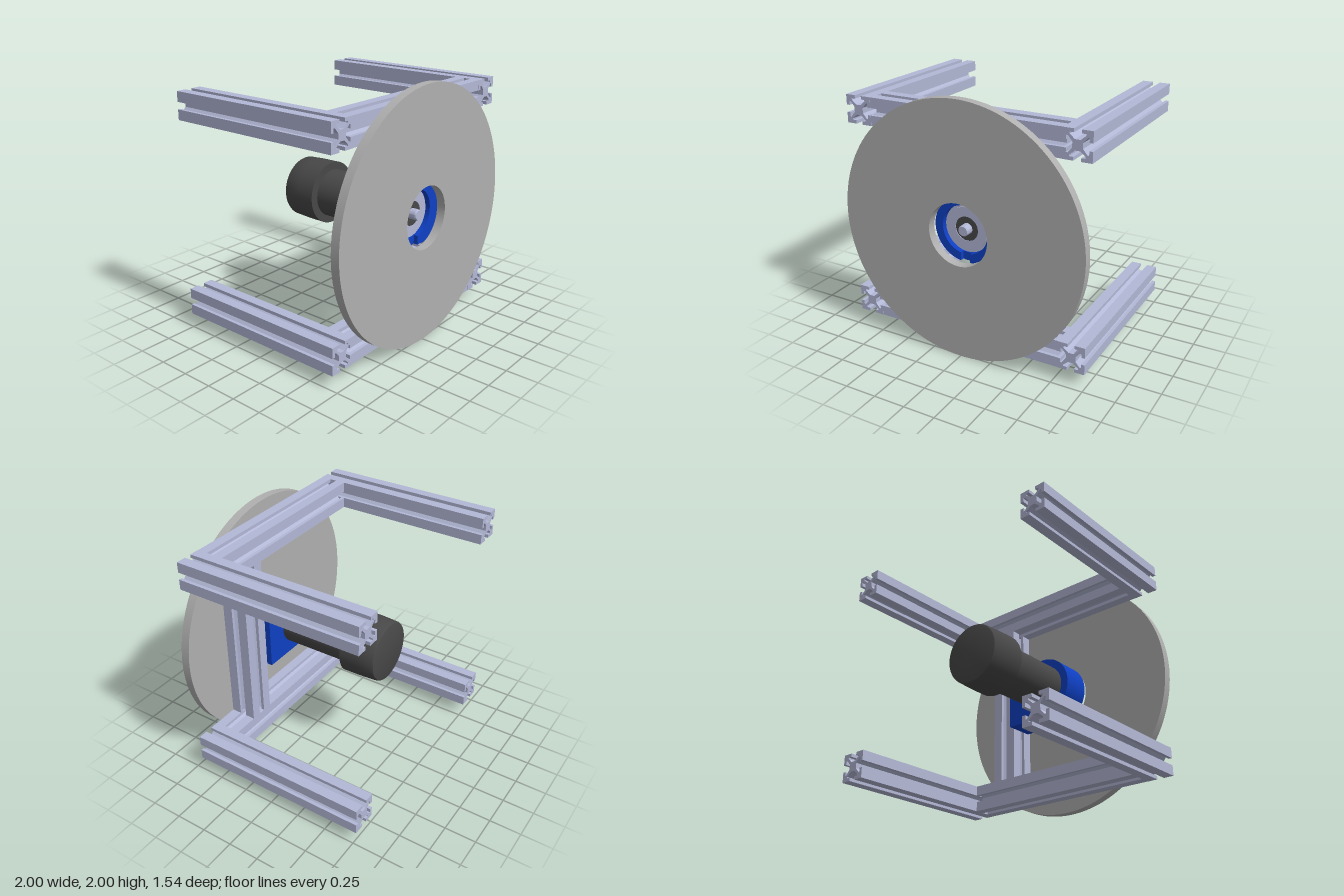
import * as THREE from 'three';
import { toCreasedNormals } from 'three/addons/utils/BufferGeometryUtils.js';

const mat = (color) => new THREE.MeshStandardMaterial({ color });
const AXIS_Y = 1.005;

export function createModel() {
  const model = new THREE.Group();
  model.name = 'spindleDiscFrame';
  const alloy = mat(0xb3b8d6), grey = mat(0xb0b0b0), blue = mat(0x0f40c4), dark = mat(0x484848);

  const add = (name, geometry, material, x = 0, y = 0, z = 0) => {
    const mesh = new THREE.Mesh(geometry, material);
    mesh.name = name;
    mesh.position.set(x, y, z);
    model.add(mesh);
    return mesh;
  };
  const extrude = (shape, depth) => toCreasedNormals(
    new THREE.ExtrudeGeometry(shape, { depth, bevelEnabled: false, curveSegments: 64 }), 0.5);
  // Lathe about z: profile points are [radius, z]
  const turned = (points) => toCreasedNormals(
    new THREE.LatheGeometry(points.map(([r, z]) => new THREE.Vector2(r, z)), 64).rotateX(Math.PI / 2), 0.5);

  // T-slot profile: one quarter of the outline, turned four times
  const quarter = [[0.038, 0.02], [0.07, 0.058], [0.082, 0.058], [0.082, 0.028], [0.108, 0.028], [0.108, 0.108],
    [0.028, 0.108], [0.028, 0.082], [0.058, 0.082], [0.058, 0.07], [0.02, 0.038]];
  const outline = [];
  for (let i = 0; i < 4; i++) {
    for (const [x, y] of quarter) outline.push(new THREE.Vector2(x, y).rotateAround(new THREE.Vector2(), i * Math.PI / 2));
  }
  const profile = new THREE.Shape(outline);
  const beam = (length) => extrude(profile, length).translate(0, 0, -length / 2);

  // Rectangular frame: four arms, two cross rails, one upright
  for (const [level, y] of [['lower', 0.215], ['upper', 1.792]]) {
    for (const [side, x] of [['Left', 0.882], ['Right', -0.882]]) {
      add(level + side + 'Arm', beam(1.47), alloy, x, y, -0.035);
    }
    add(level + 'CrossRail', beam(1.548).rotateY(Math.PI / 2), alloy, 0, y, 0.59);
  }
  add('upright', beam(1.361).rotateX(Math.PI / 2), alloy, 0.468, 1.0035, 0.59);

  // Large front disc with a central hole
  const disc = new THREE.Shape().absarc(0, 0, 1, 0, Math.PI * 2);
  disc.holes.push(new THREE.Path().absarc(0, 0, 0.245, 0, Math.PI * 2, true));
  add('frontDisc', extrude(disc, 0.07), grey, 0, 1, 0.7);

  // Clamp: flat towards the upright, round on the other side
  const R = 0.255, bore = 0.19;
  const clamp = new THREE.Shape();
  clamp.moveTo(0.36, -R);
  clamp.lineTo(0.36, R);
  clamp.lineTo(0, R);
  clamp.absarc(0, 0, R, Math.PI / 2, Math.PI * 1.5);
  clamp.closePath();
  clamp.holes.push(new THREE.Path().absarc(0, 0, bore, 0, Math.PI * 2, true));
  add('clampBody', extrude(clamp, 0.2), blue, 0, AXIS_Y, 0.435);

  // Front lips of the clamp, parted by a channel
  const a = Math.asin(0.04 / R), b = Math.asin(0.04 / bore);
  const outerLip = new THREE.Shape();
  outerLip.absarc(0, 0, R, Math.PI / 2 + a, Math.PI * 1.5 - a);
  outerLip.absarc(0, 0, bore, Math.PI * 1.5 - b, Math.PI / 2 + b, true);
  const innerLip = new THREE.Shape();
  innerLip.moveTo(0.04, -R);
  innerLip.lineTo(0.36, -R);
  innerLip.lineTo(0.36, R);
  innerLip.lineTo(0.04, R);
  innerLip.absarc(0, 0, bore, Math.PI / 2 - b, -Math.PI / 2 + b, true);
  add('clampOuterLip', extrude(outerLip, 0.035), blue, 0, AXIS_Y, 0.635);
  add('clampInnerLip', extrude(innerLip, 0.035), blue, 0, AXIS_Y, 0.635);
  add('clampBolt', new THREE.CylinderGeometry(0.02, 0.02, 0.02, 20), dark, 0.27, AXIS_Y + R + 0.008, 0.55);

  // Motor body, neck and rear cap
  add('motorBody', turned([[0, -0.16], [0.178, -0.16], [0.178, -0.135], [0.19, -0.135], [0.19, 0.6], [0, 0.6]]),
    dark, 0, AXIS_Y);
  add('motorCap', turned([[0, -0.435], [0.225, -0.435], [0.235, -0.431], [0.241, -0.42], [0.248, -0.29],
    [0.25, -0.14], [0, -0.14]]), dark, 0, AXIS_Y);
  add('bodyScrew', new THREE.CylinderGeometry(0.015, 0.015, 0.01, 16).rotateZ(Math.PI / 2), dark, 0.188, AXIS_Y, -0.12);

  // Nose: stepped face plate, collar and shaft
  add('facePlate', turned([[0.188, 0.59], [0.188, 0.63], [0.168, 0.63], [0.168, 0.645], [0.095, 0.645], [0.095, 0.59]]),
    alloy, 0, AXIS_Y);
  add('shaftCollar', turned([[0.095, 0.6], [0.095, 0.64], [0.045, 0.64], [0.045, 0.6]]), dark, 0, AXIS_Y);
  add('shaft', turned([[0, 0.59], [0.042, 0.59], [0.042, 0.69], [0.036, 0.7], [0, 0.7]]), alloy, 0, AXIS_Y);

  return model;
}
